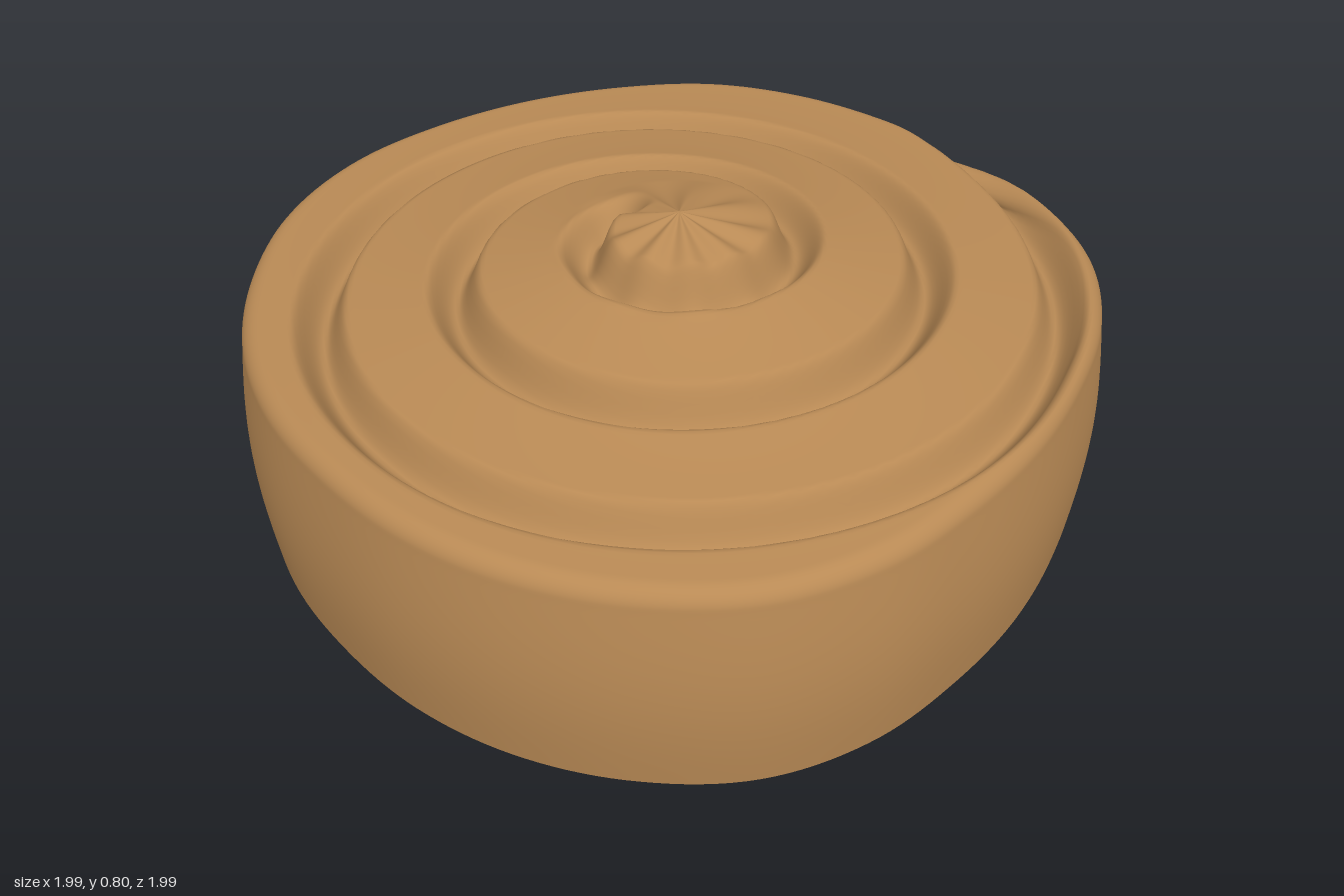
import * as THREE from 'three';

const SEG = 200, TAU = Math.PI * 2;

// Outline radius every 15 degrees, turning from +x towards +z
const OUTLINE = [0.995, 0.965, 0.93, 0.92, 0.93, 0.965, 0.99, 0.985, 0.975, 0.965, 0.96, 0.975,
  0.993, 1.01, 1.03, 1.03, 1.01, 1.0, 1.0, 1.01, 0.995, 0.975, 0.975, 0.99];

function outline(phi) {
  const n = OUTLINE.length, f = (phi / TAU) * n, i = Math.floor(f), t = f - i;
  const [a, b, c, d] = [-1, 0, 1, 2].map(k => OUTLINE[(i + k + n) % n]);
  return b + 0.5 * t * (c - a + t * (2 * a - 5 * b + 4 * c - d + t * (3 * (b - c) + d - a)));
}

// Skin made of closed rings; the first or last ring may be a single point
function loft(rows, point, startsAtCentre, material, name) {
  const pos = [], idx = [];
  for (let j = 0; j < rows; j++) {
    for (let i = 0; i < SEG; i++) pos.push(...point(j, (i / SEG) * TAU));
  }
  const at = (j, i) => (j === 0 && startsAtCentre ? 0 : j * SEG + (i % SEG));
  for (let j = 0; j < rows - 1; j++) {
    for (let i = 0; i < SEG; i++) {
      if (!(j === 0 && startsAtCentre)) idx.push(at(j, i), at(j, i + 1), at(j + 1, i));
      idx.push(at(j, i + 1), at(j + 1, i + 1), at(j + 1, i));
    }
  }
  const g = new THREE.BufferGeometry();
  g.setAttribute('position', new THREE.Float32BufferAttribute(pos, 3));
  g.setIndex(idx);
  g.computeVertexNormals();
  const mesh = new THREE.Mesh(g, material);
  mesh.name = name;
  return mesh;
}

// Depth of the spiral crease, which finally slips over the shoulder and down the back
function crease(x, z, y) {
  const dx = x + 0.035, dz = z + 0.05;
  const turn = ((((-Math.PI / 2 - Math.atan2(dz, dx)) / TAU) % 1) + 1) % 1;
  const reach = Math.hypot(dx, dz) + Math.max(0, 0.585 - y);
  let depth = 0;
  for (let k = 0; k < 3; k++) {
    const s = k + turn;
    const drop = 0.15 * Math.pow(Math.max(0, s - 2.78) / 0.17, 2);
    const w = reach - (0.085 + 0.3 * s + drop);
    const q = w / (w < 0 ? 0.055 : 0.07);
    if (Math.abs(q) >= 1) continue;
    const fade = THREE.MathUtils.smoothstep(s, 0, 0.15) * (1 - THREE.MathUtils.smoothstep(s, 2.78, 2.97));
    depth = Math.max(depth, 0.085 * fade * Math.pow(1 - q * q, 2));
  }
  return depth;
}

const TOP = 100, SHOULDER = 10, WALL = 26;
const domeHeight = r => 0.59 + 0.21 * Math.pow(Math.max(0, 1 - r), 1.8);

function bunPoint(j, phi) {
  const R = outline(phi), c = Math.cos(phi), s = Math.sin(phi);
  const edge = 0.98 * R, inner = edge - 0.045;
  let r, y, up;
  if (j <= TOP) {                       // domed top
    r = (inner * j) / TOP;
    y = domeHeight(r);
    up = 1;
  } else if (j <= TOP + SHOULDER) {     // rounded shoulder
    const a = ((j - TOP) / SHOULDER) * Math.PI / 2;
    r = inner + 0.045 * Math.sin(a);
    y = domeHeight(inner) - 0.045 * (1 - Math.cos(a));
    up = Math.cos(a);
  } else {                              // slightly bulging wall
    const t = (j - TOP - SHOULDER) / WALL;
    r = edge + 0.02 * R * Math.sin(Math.PI * t);
    y = THREE.MathUtils.lerp(domeHeight(inner) - 0.045, 0.065, t);
    up = 0;
  }
  const d = crease(r * c, r * s, y);
  // fine pleats pinched together at the centre
  const pleat = 0.008 * Math.sin(9 * phi) * Math.sin(Math.PI * Math.min(1, r / 0.28));
  const rr = r - d * Math.sqrt(1 - up * up);
  return [rr * c, y - d * up + pleat * up, rr * s];
}

export function createModel() {
  const dough = new THREE.MeshStandardMaterial({ color: 0xb98a55 });
  dough.name = 'golden dough';
  const crust = new THREE.MeshStandardMaterial({ color: 0x744828 });
  crust.name = 'dark baked crust';

  const ring = (scale, y, phi) => {
    const r = outline(phi) * scale;
    return [r * Math.cos(phi), y, r * Math.sin(phi)];
  };

  const model = new THREE.Group();
  model.name = 'spiralBun';
  model.add(
    loft(TOP + SHOULDER + WALL + 1, bunPoint, true, dough, 'spiralDough'),
    loft(2, (j, phi) => ring(j ? 0.925 : 0.98, j ? 0 : 0.065, phi), false, crust, 'bevelledBaseEdge'),
    loft(2, (j, phi) => ring(j ? 0 : 0.925, 0, phi), false, crust, 'baseUnderside'),
  );
  return model;
}
